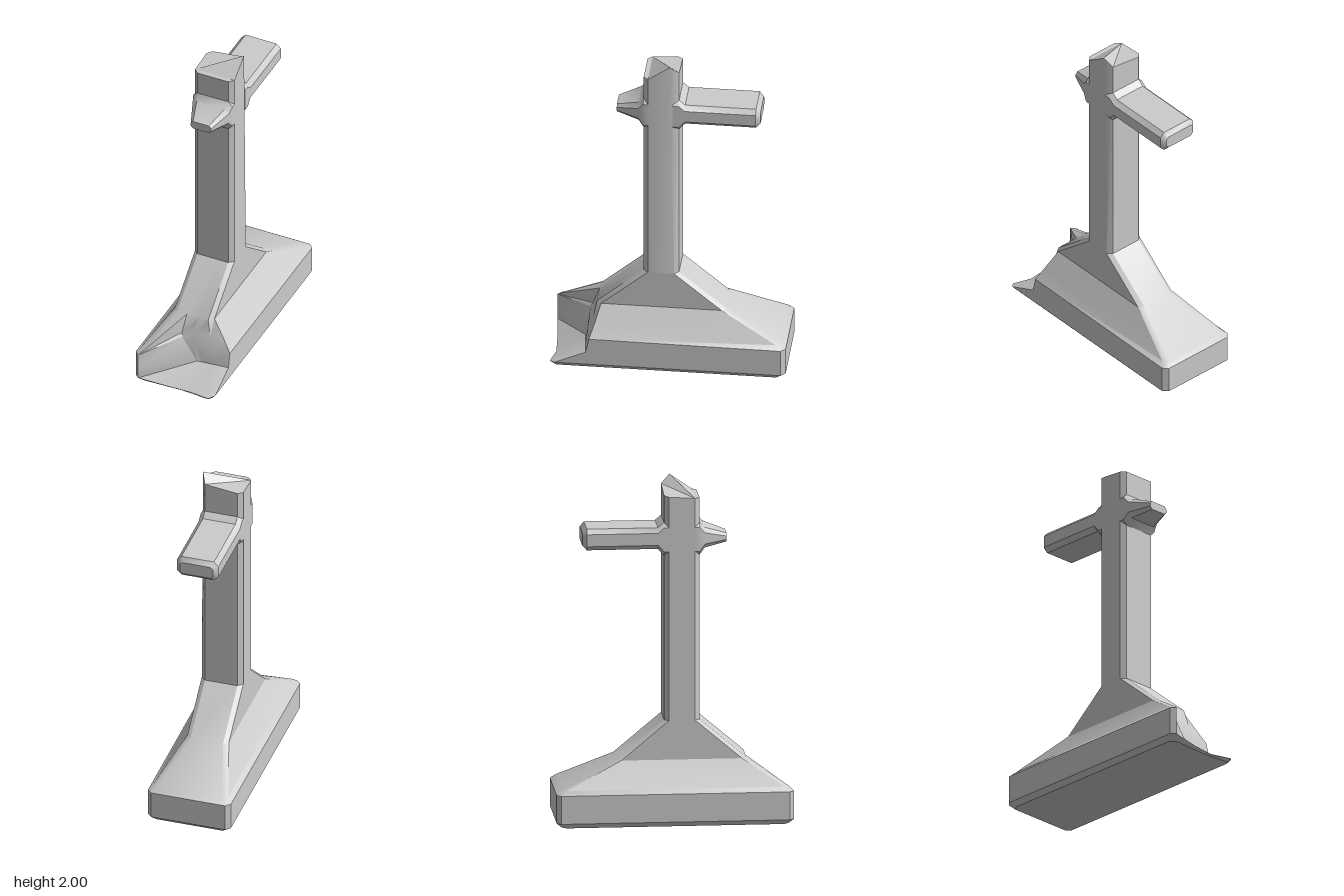
import * as THREE from 'three';
import { toCreasedNormals } from 'three/addons/utils/BufferGeometryUtils.js';

const material = new THREE.MeshStandardMaterial({ color: 0xcccccc });

// Skin a list of rings (each counter-clockwise seen along the loft direction) and cap both ends
function loft(name, rings) {
  const n = rings[0].length, index = [];
  for (let i = 0; i < rings.length - 1; i++) {
    for (let j = 0; j < n; j++) {
      const a = i * n + j, b = i * n + (j + 1) % n;
      index.push(a, b, b + n, a, b + n, a + n);
    }
  }
  const last = (rings.length - 1) * n;
  for (let j = 1; j < n - 1; j++) {
    index.push(0, j + 1, j, last, last + j, last + j + 1);
  }
  const geometry = new THREE.BufferGeometry();
  geometry.setAttribute('position', new THREE.Float32BufferAttribute(rings.flat(2), 3));
  geometry.setIndex(index);
  const mesh = new THREE.Mesh(toCreasedNormals(geometry, 0.55), material);
  mesh.name = name;
  return mesh;
}

// Rectangle with cut corners, starting at the low end of the first axis
function chamfered(u, v0, v1, c) {
  return [[-u, v0 + c], [-u + c, v0], [u - c, v0], [u, v0 + c],
    [u, v1 - c], [u - c, v1], [-u + c, v1], [-u, v1 - c]];
}

// Horizontal ring at height y
const level = (y, hx, front, back, c = 0.027) =>
  chamfered(hx, -front, -back, c).map(([x, v]) => [x, y, -v]);

// Upright ring at depth z
const slice = (z, hx, y0, y1, c) =>
  chamfered(hx, y0, y1, c).map(([x, y]) => [x, y, z]);

// Horizontal ring with two extra front points; "broken" replaces the points from the front middle to the left
function baseLevel(y, hx, front, back, broken) {
  const ring = level(y, hx, front, back);
  ring.splice(2, 0, [-hx * 0.3, y, front], [hx * 0.3, y, front]);
  if (broken) broken.forEach((p, i) => { ring[2 + i] = p; });
  return ring;
}

export function createModel() {
  const model = new THREE.Group();
  model.name = 'brokenPostMonument';

  // Plinth with its front left corner broken away, sweeping up into the post
  model.add(loft('plinth', [
    baseLevel(0, 0.225, 0.655, -0.655,
      [[-0.05, 0, 0.65], [0.1, 0, 0.645], [0.21, 0, 0.66], [0.225, 0, 0.64]]),
    baseLevel(0.03, 0.25, 0.685, -0.685,
      [[-0.05, 0.015, 0.665], [0.1, 0.01, 0.655], [0.22, 0.02, 0.68], [0.25, 0.03, 0.65]]),
    baseLevel(0.11, 0.25, 0.685, -0.685,
      [[0.06, 0.11, 0.49], [0.1, 0.11, 0.485], [0.15, 0.11, 0.48], [0.25, 0.11, 0.47]]),
    baseLevel(0.195, 0.25, 0.685, -0.685,
      [[-0.04, 0.24, 0.475], [0.03, 0.24, 0.47], [0.15, 0.2, 0.47], [0.25, 0.2, 0.45]]),
    baseLevel(0.22, 0.225, 0.655, -0.655,
      [[-0.05, 0.26, 0.46], [0.02, 0.28, 0.45], [0.12, 0.27, 0.44], [0.2, 0.27, 0.425]]),
    baseLevel(0.37, 0.125, 0.42, -0.33),
    baseLevel(0.6, 0.125, 0.15, -0.055),
  ]));

  // Post with a splintered, slanting top
  const top = level(1.91, 0.125, 0.15, -0.055);
  [1.91, 1.91, 1.91, 1.91, 2.0, 1.95, 1.925, 1.92].forEach((y, i) => { top[i][1] = y; });
  top[4][2] = -0.005;
  model.add(loft('post', [level(0.6, 0.125, 0.15, -0.055), top]));

  // Long whole arm at the back, flaring where it meets the post
  model.add(loft('backArm', [
    slice(-0.525, 0.1, 1.635, 1.71, 0.015),
    slice(-0.5, 0.125, 1.61, 1.735, 0.027),
    slice(-0.09, 0.125, 1.61, 1.735, 0.027),
    slice(-0.055, 0.125, 1.57, 1.765, 0.027),
    slice(-0.02, 0.125, 1.57, 1.765, 0.027),
  ]));

  // Short tapering arm stump at the front
  model.add(loft('frontArmStump', [
    slice(0.12, 0.125, 1.57, 1.765, 0.027),
    slice(0.15, 0.125, 1.57, 1.765, 0.027),
    slice(0.18, 0.115, 1.61, 1.73, 0.027),
    slice(0.31, 0.065, 1.635, 1.685, 0.015),
  ]));

  return model;
}
